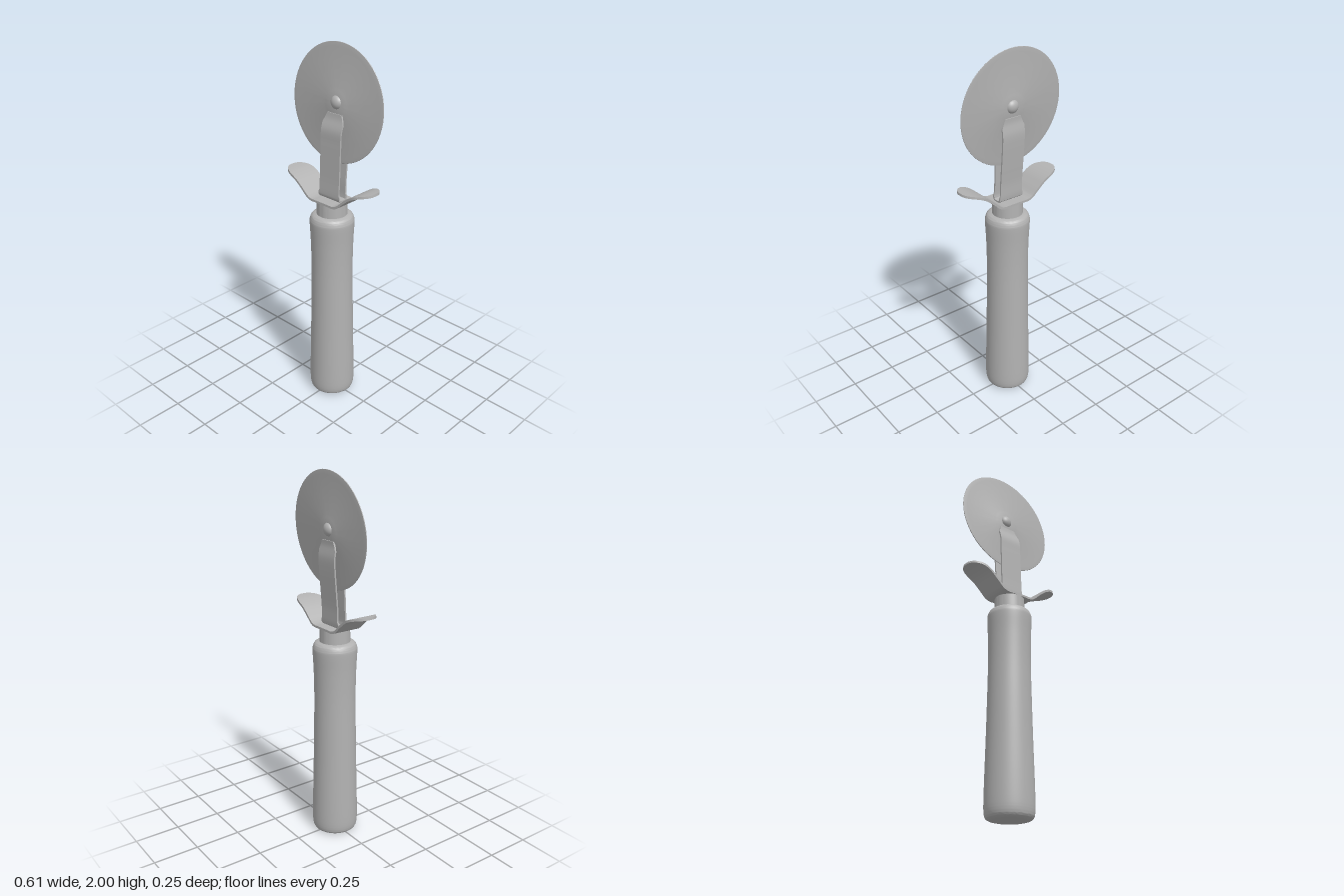
import * as THREE from 'three';
import { toCreasedNormals } from 'three/addons/utils/BufferGeometryUtils.js';

const steel = new THREE.MeshStandardMaterial({ color: 0xb2b2b2 });
steel.name = 'brushed grey';

function add(parent, name, geometry) {
  const mesh = new THREE.Mesh(geometry, steel);
  mesh.name = name;
  parent.add(mesh);
  return mesh;
}

// Flat bar bent along a curve in the xy plane; its width runs along z.
function bentBar(curve, steps, thickness, halfWidth) {
  const pos = [], idx = [];
  for (let i = 0; i <= steps; i++) {
    const p = curve.getPointAt(i / steps), t = curve.getTangentAt(i / steps);
    const w = halfWidth(p, i / steps);
    for (const [n, z] of [[1, 1], [-1, 1], [-1, -1], [1, -1]]) {
      pos.push(p.x - t.y * n * thickness / 2, p.y + t.x * n * thickness / 2, z * w);
    }
  }
  for (let i = 0; i < steps; i++) {
    for (let j = 0; j < 4; j++) {
      const a = i * 4 + j, b = i * 4 + (j + 1) % 4;
      idx.push(a, b, b + 4, a, b + 4, a + 4);
    }
  }
  const e = steps * 4;
  idx.push(0, 2, 1, 0, 3, 2, e, e + 1, e + 2, e, e + 2, e + 3);
  const g = new THREE.BufferGeometry();
  g.setAttribute('position', new THREE.Float32BufferAttribute(pos, 3));
  g.setIndex(idx);
  return toCreasedNormals(g, 0.7);
}

const spline = (pts) => new THREE.SplineCurve(pts.map(([x, y]) => new THREE.Vector2(x, y)));

// Solid of revolution, profile listed from the bottom up.
const turned = (pts, crease = 0.7) => toCreasedNormals(
  new THREE.LatheGeometry(pts.map(([x, y]) => new THREE.Vector2(x, y)), 64), crease);

export function createModel() {
  const group = new THREE.Group();
  group.name = 'rotaryCutter';

  // Handle: rounded ends and a slight waist
  const body = spline([[0.106, 0.004], [0.118, 0.013], [0.124, 0.035], [0.126, 0.08], [0.124, 0.2],
    [0.119, 0.4], [0.115, 0.6], [0.112, 0.8], [0.114, 0.95], [0.119, 1.06],
    [0.117, 1.085], [0.108, 1.105], [0.092, 1.114]]).getPoints(72).map((p) => [p.x, p.y]);
  add(group, 'handle', turned([[0, 0], [0.09, 0], ...body, [0.08, 1.115], [0, 1.115]]));
  add(group, 'collar', turned([[0, 1.1], [0.082, 1.1], [0.08, 1.19], [0, 1.19]]));

  // Thumb guard: wings sweep up and end in round tips
  const right = [[0.075, 1.191], [0.105, 1.202], [0.145, 1.237], [0.19, 1.272], [0.24, 1.294], [0.296, 1.304]];
  const left = right.map(([x, y]) => [-x, y]).reverse();
  const guardWidth = (p) => {
    const d = Math.max(0, (Math.abs(p.x) - 0.205) / 0.0925);
    return 0.004 + 0.076 * Math.sqrt(Math.max(0, 1 - d * d));
  };
  add(group, 'thumbGuard', bentBar(spline([...left, [-0.04, 1.191], [0.04, 1.191], ...right]), 120, 0.012, guardWidth));

  // Fork: one strip folded into a U, arms pinching together at the hub
  const fork = spline([[-0.02, 1.65], [-0.014, 1.62], [0.005, 1.565], [0.009, 1.5], [0.013, 1.4],
    [0.017, 1.3], [0.021, 1.22], [0.014, 1.202], [-0.022, 1.202], [-0.03, 1.22],
    [-0.032, 1.3], [-0.04, 1.4], [-0.048, 1.5], [-0.05, 1.565], [-0.042, 1.62], [-0.042, 1.65]]);
  const forkWidth = (p) => p.y > 1.61 ? 0.064 - (p.y - 1.61) * 0.4 : p.y < 1.23 ? 0.073 : 0.068;
  add(group, 'fork', bentBar(fork, 100, 0.009, forkWidth)).rotation.y = -Math.PI / 2;

  // Cutting wheel, leaning slightly back
  const wheel = new THREE.Group();
  wheel.name = 'wheel';
  wheel.position.set(0, 1.697, -0.035);
  wheel.rotation.x = -0.066;
  group.add(wheel);

  // Blade with a bevelled edge and a raised boss
  const half = [[0.302, 0.002], [0.28, 0.005], [0.085, 0.005], [0.07, 0.009], [0, 0.009]];
  const lower = half.map(([r, y]) => [r, -y]).reverse();
  add(wheel, 'blade', turned([...lower, [0.303, 0], ...half], 0.5)).rotation.x = Math.PI / 2;

  // Domed rivet through the centre
  const rivet = new THREE.SphereGeometry(0.036, 32, 20);
  rivet.scale(1, 1, 0.78);
  add(wheel, 'rivet', rivet).position.y = 0.008;

  return group;
}
